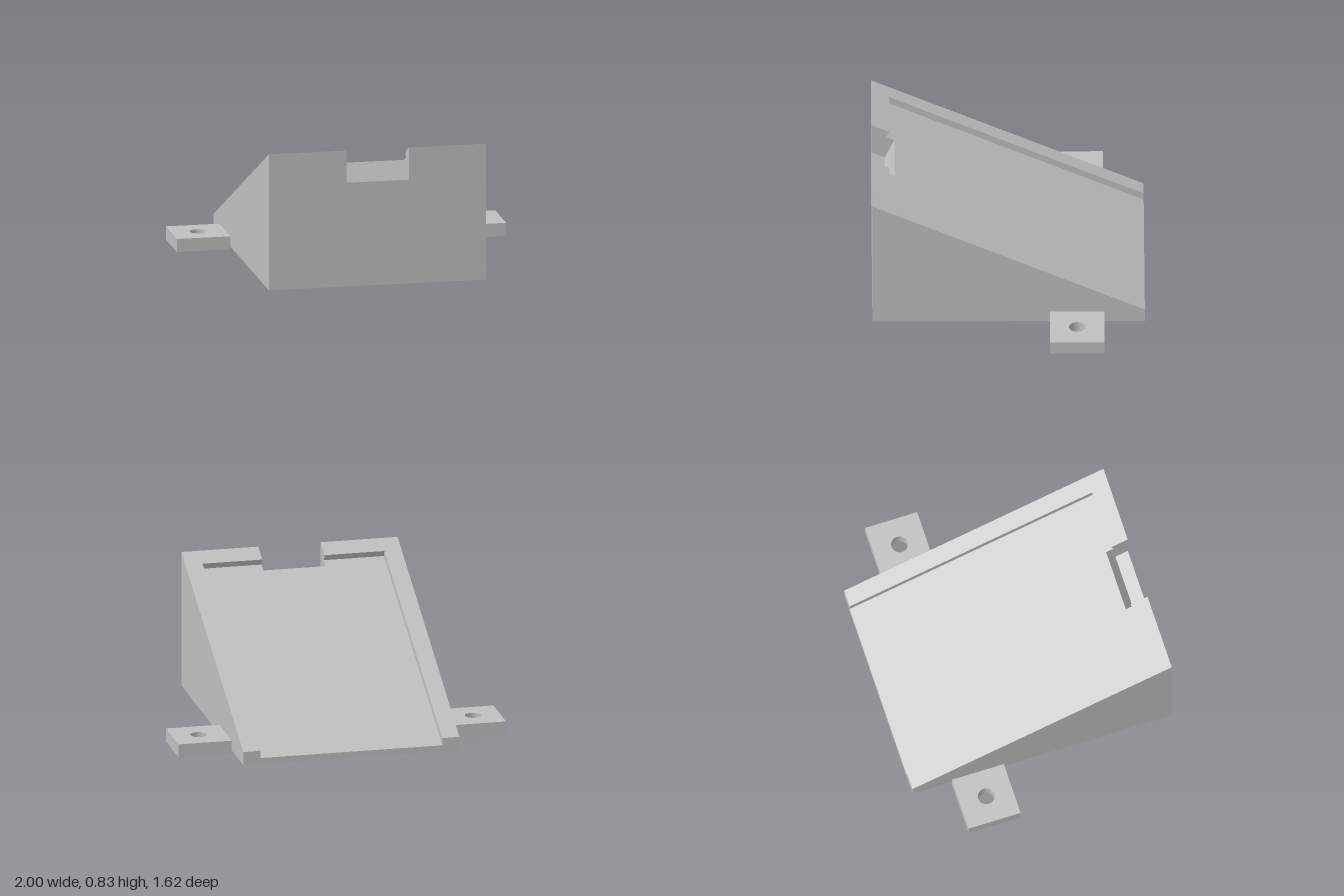
import * as THREE from 'three';

export function createModel() {
  const group = new THREE.Group();
  const grey = new THREE.MeshStandardMaterial({ color: 0xc0c0c0 });
  grey.name = 'plain grey';

  const add = (name, geometry) => {
    const mesh = new THREE.Mesh(geometry, grey);
    mesh.name = name;
    group.add(mesh);
    return mesh;
  };

  // Side profile in (z, y), extruded along x from x0 to x1
  const slab = (name, profile, x0, x1) => {
    const shape = new THREE.Shape(profile.map(([z, y]) => new THREE.Vector2(z, y)));
    const geometry = new THREE.ExtrudeGeometry(shape, { depth: x1 - x0, bevelEnabled: false });
    geometry.rotateY(-Math.PI / 2).translate(x1, 0, 0);
    return add(name, geometry);
  };

  const D = 0.81; // half depth of the ramp
  const rim = (z) => 0.457 + 0.463 * z; // top of the rim
  const tray = (z) => rim(z) - 0.045; // sunken tray surface
  const base = [[-D, 0], [D, 0]];

  const rail = [...base, [D, rim(D)], [-D, rim(-D)]];
  // Tray ending at a front lip square to the slope
  const lipped = [...base, [D, rim(D)], [0.705, rim(0.705)], [0.723, tray(0.723)], [-D, tray(-D)]];
  // Tray cut away by the front notch, whose floor follows the slope
  const notched = [...base, [D, 0.635], [0.732, 0.599], [0.675, tray(0.675)], [-D, tray(-D)]];

  slab('notchedTrayCentre', notched, -0.19, 0.19);
  slab('leftTray', lipped, 0.19, 0.555);
  slab('rightTray', lipped, -0.555, -0.19);
  slab('leftRail', rail, 0.555, 0.66);
  slab('rightRail', rail, -0.66, -0.555);

  // Separate mounting tabs with a screw hole
  for (const side of [1, -1]) {
    const w = 0.1625;
    const shape = new THREE.Shape([[-w, -w], [w, -w], [w, w], [-w, w]].map(([x, y]) => new THREE.Vector2(x, y)));
    shape.holes.push(new THREE.Path().absarc(0, 0, 0.05, 0, Math.PI * 2, true));
    const geometry = new THREE.ExtrudeGeometry(shape, { depth: 0.08, bevelEnabled: false, curveSegments: 32 });
    geometry.rotateX(-Math.PI / 2);
    add(side > 0 ? 'leftMountingTab' : 'rightMountingTab', geometry).position.set(side * 0.8375, 0, -0.407);
  }

  return group;
}
